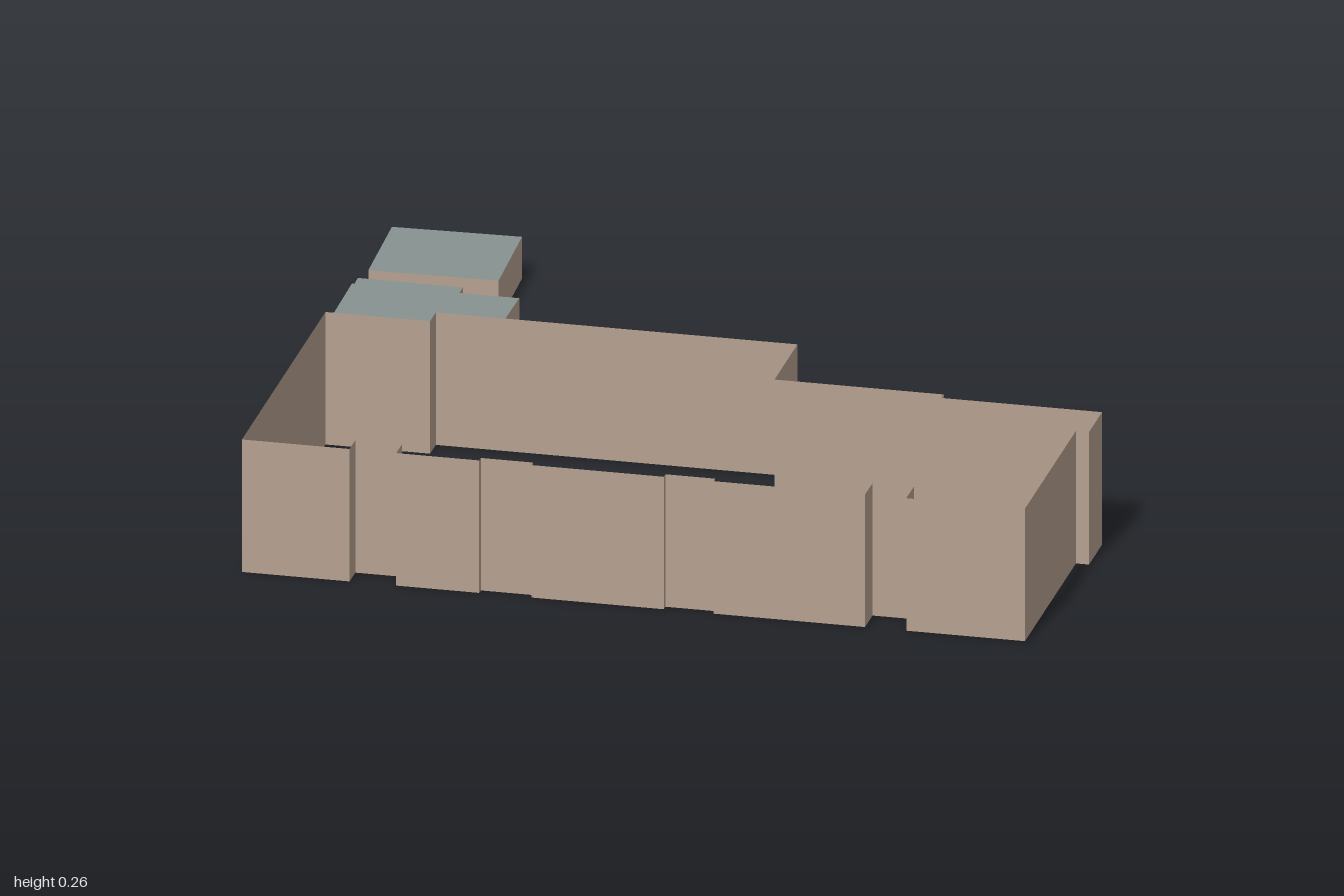
import * as THREE from 'three';

const wallMaterial = new THREE.MeshStandardMaterial({ color: 0xb5a090, side: THREE.DoubleSide });
wallMaterial.name = 'tan wall';
const roofMaterial = new THREE.MeshStandardMaterial({ color: 0x879290, side: THREE.DoubleSide });
roofMaterial.name = 'grey roof';

// Closed ring of thin upright walls around a footprint of [x, z] points
function wallRing(name, points, height) {
  const positions = [];
  points.forEach(([ax, az], i) => {
    const [bx, bz] = points[(i + 1) % points.length];
    positions.push(ax, 0, az, bx, 0, bz, bx, height, bz);
    positions.push(ax, 0, az, bx, height, bz, ax, height, az);
  });
  const geometry = new THREE.BufferGeometry();
  geometry.setAttribute('position', new THREE.Float32BufferAttribute(positions, 3));
  geometry.computeVertexNormals();
  const mesh = new THREE.Mesh(geometry, wallMaterial);
  mesh.name = name;
  return mesh;
}

// Flat roof sheet over a footprint
function flatRoof(name, points, height) {
  const shape = new THREE.Shape(points.map(([x, z]) => new THREE.Vector2(x, -z)));
  const geometry = new THREE.ShapeGeometry(shape).rotateX(-Math.PI / 2).translate(0, height, 0);
  const mesh = new THREE.Mesh(geometry, roofMaterial);
  mesh.name = name;
  return mesh;
}

// The long building is laid out on its own turned axes: u along it, v toward its front
const toWorld = ([u, v]) => [0.948 * u + 0.319 * v, -0.319 * u + 0.948 * v];

export function createModel() {
  const model = new THREE.Group();
  model.name = 'buildings';

  const front = 0.597;
  const mainPlan = [
    // front wall with two notches and two shallow recesses
    [-0.642, front], [-0.436, front], [-0.436, 0.551], [-0.347, 0.551], [-0.347, front],
    [-0.188, front], [-0.188, 0.584], [-0.088, 0.584], [-0.088, front],
    [0.165, front], [0.165, 0.584], [0.26, 0.584], [0.26, front],
    [0.55, front], [0.55, 0.537], [0.629, 0.537], [0.629, front], [0.856, front],
    // end wall with a small projection
    [0.856, 0.192], [0.881, 0.192], [0.881, 0.088],
    // stepped back wall
    [0.574, 0.088], [0.574, 0.07], [0.25, 0.07], [0.25, -0.113],
    [-0.442, -0.113], [-0.442, -0.067], [-0.642, -0.067],
  ];
  model.add(wallRing('mainBuildingWalls', mainPlan.map(toWorld), 0.265));

  // Row of lower roofed blocks, stepping down toward the back
  const blocks = [
    ['wing', 0.148, [[-0.64, 0.07], [-0.165, -0.09], [-0.23, -0.28], [-0.745, -0.107],
      [-0.725, -0.06], [-0.68, -0.018], [-0.655, 0.02]]],
    ['annex', 0.118, [[-0.785, -0.1], [-0.485, -0.195], [-0.56, -0.425], [-0.863, -0.322]]],
    ['lobby', 0.097, [[-0.87, -0.322], [-0.68, -0.385], [-0.706, -0.46], [-0.897, -0.397]]],
    ['shed', 0.083, [[-0.92, -0.47], [-0.687, -0.555], [-0.768, -0.766], [-1, -0.68]]],
  ];
  for (const [name, height, plan] of blocks) {
    const block = new THREE.Group();
    block.name = name;
    block.add(wallRing(name + 'Walls', plan, height), flatRoof(name + 'Roof', plan, height));
    model.add(block);
  }
  return model;
}
